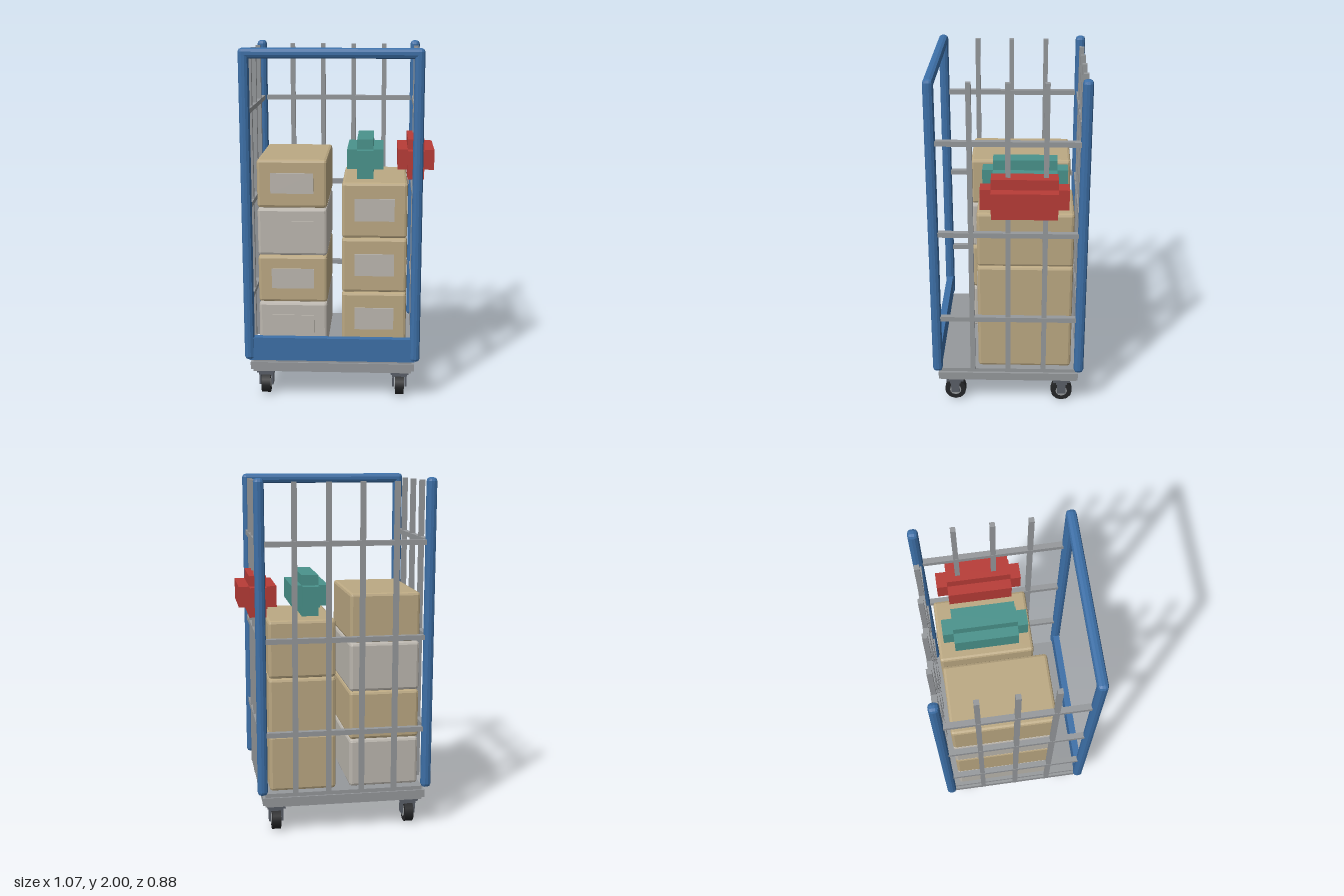
import * as THREE from 'three';
import { RoundedBoxGeometry } from 'three/addons/geometries/RoundedBoxGeometry.js';

const mat = (name, color, extra = {}) => {
  const m = new THREE.MeshStandardMaterial({ color, ...extra });
  m.name = name;
  return m;
};

export function createModel() {
  const model = new THREE.Group();
  model.name = 'rollCage';

  const blue = mat('blueFrame', 0x3d70a8);
  const steel = mat('steel', 0x96999c);
  const cardboard = mat('cardboard', 0xbca983);
  const pale = mat('paleGrey', 0xbdb8b0);
  const teal = mat('teal', 0x4a938c);
  const red = mat('red', 0xb83c37);
  const rubber = mat('rubber', 0x252628);
  const bracket = mat('bracket', 0x5a5f68);

  const CX = -0.04;        // centre of the cage
  const HX = 0.47, HZ = 0.412; // half spacing of the posts

  const add = (parent, name, geo, material, x, y, z) => {
    const mesh = new THREE.Mesh(geo, material);
    mesh.name = name;
    mesh.position.set(x, y, z);
    parent.add(mesh);
    return mesh;
  };
  // plain box given by its limits
  const box = (parent, name, material, x0, x1, y0, y1, z0, z1) =>
    add(parent, name, new THREE.BoxGeometry(x1 - x0, y1 - y0, z1 - z0), material,
      (x0 + x1) / 2, (y0 + y1) / 2, (z0 + z1) / 2);
  // box with small faceted edges
  const softBox = (parent, name, material, w, h, d, r, x, y, z) => {
    const geo = new RoundedBoxGeometry(w, h, d, 1, r);
    geo.computeVertexNormals();
    return add(parent, name, geo, material, x, y, z);
  };
  const group = (name, x = 0, y = 0, z = 0) => {
    const g = new THREE.Group();
    g.name = name;
    g.position.set(x, y, z);
    model.add(g);
    return g;
  };

  // Platform with a protruding rim
  const deck = group('platform', CX, 0, 0);
  box(deck, 'deck', steel, -0.453, 0.453, 0.16, 0.24, -0.4, 0.4);
  box(deck, 'deckRim', steel, -0.468, 0.468, 0.175, 0.218, -0.41, 0.41);

  // Corner posts, front top rail and front kick panel
  const frame = group('frame', CX, 0, 0);
  for (const sx of [-1, 1])
    for (const sz of [-1, 1])
      softBox(frame, 'post', blue, 0.056, 1.76, 0.056, 0.02, sx * HX, 1.12, sz * HZ);
  softBox(frame, 'topRail', blue, 2 * HX + 0.056, 0.056, 0.056, 0.02, 0, 1.972, HZ);
  box(frame, 'kickPanel', blue, -HX, HX, 0.24, 0.375, HZ - 0.02, HZ + 0.02);

  // Wire mesh on the back and both sides
  const mesh = group('mesh', CX, 0, 0);
  const levels = [0.59, 1.12, 1.65];
  const t = 0.014;
  for (const x of [-0.282, -0.094, 0.094, 0.282])
    box(mesh, 'backUpright', steel, x - t, x + t, 0.24, 1.98, -HZ - t, -HZ + t);
  for (const y of levels)
    box(mesh, 'backBar', steel, -HX, HX, y - t, y + t, -HZ - 0.016, -HZ + 0.016);
  for (const s of [-1, 1]) {
    const x = s * HX;
    for (const z of [-0.205, 0, 0.205])
      box(mesh, 'sideUpright', steel, x - t, x + t, 0.24, 1.98, z - t, z + t);
    for (const y of levels)
      box(mesh, 'sideBar', steel, x - 0.016, x + 0.016, y - t, y + t, -HZ, HZ);
  }

  // Stacked cartons, each with a thin label on its front
  const stack = (name, materials, x, z, w, h, d, lw, lh) => {
    const g = group(name, x, 0.24, z);
    materials.forEach((m, i) => {
      const y = (i + 0.5) * h;
      softBox(g, 'carton', m, w, h - 0.003, d, 0.016, 0, y, 0);
      add(g, 'label', new THREE.BoxGeometry(lw, lh, 0.008), pale, 0, y + 0.005, d / 2 + 0.003);
    });
  };
  stack('leftStack', [pale, cardboard, pale, cardboard], -0.276, -0.062, 0.4, 0.2815, 0.586, 0.245, 0.118);
  stack('rightStack', [cardboard, cardboard, cardboard], 0.195, -0.095, 0.378, 0.3285, 0.542, 0.23, 0.132);

  // Stepped parcels: three crossing blocks
  const parcel = (name, material, x) => {
    const g = group(name, x, 1.347, -0.09);
    for (const [w, h, d] of [[0.21, 0.116, 0.362], [0.094, 0.232, 0.362], [0.094, 0.116, 0.482]])
      add(g, 'block', new THREE.BoxGeometry(w, h, d), material, 0, 0, 0);
  };
  parcel('tealParcel', teal, 0.138);
  parcel('redParcel', red, 0.43);

  // Casters
  const tyre = new THREE.CylinderGeometry(0.063, 0.063, 0.05, 12).rotateZ(Math.PI / 2);
  const hub = new THREE.CylinderGeometry(0.034, 0.034, 0.056, 12).rotateZ(Math.PI / 2);
  for (const sx of [-1, 1])
    for (const sz of [-1, 1]) {
      const c = group('caster', CX + sx * 0.388, 0, sz * 0.317);
      box(c, 'mountPlate', bracket, -0.052, 0.052, 0.136, 0.162, -0.05, 0.05);
      box(c, 'forkCrown', bracket, -0.042, 0.042, 0.115, 0.14, -0.032, 0.032);
      for (const s of [-1, 1])
        add(c, 'forkArm', new THREE.BoxGeometry(0.01, 0.07, 0.05), bracket, s * 0.036, 0.088, 0);
      add(c, 'tyre', tyre, rubber, 0, 0.063, 0);
      add(c, 'hub', hub, steel, 0, 0.063, 0);
    }

  return model;
}
